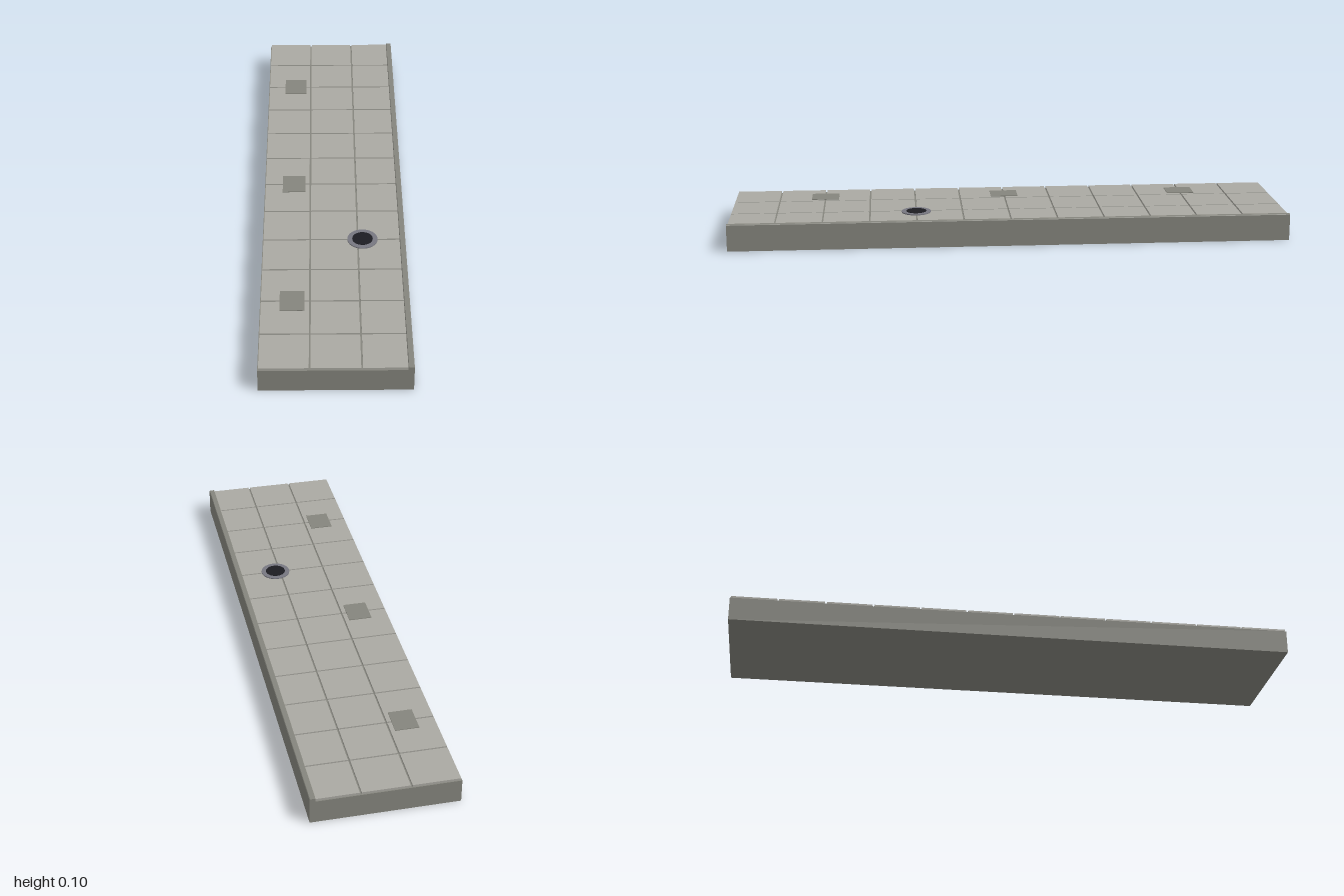
import * as THREE from 'three';

const material = (color) => new THREE.MeshStandardMaterial({ color });

export function createModel() {
  const group = new THREE.Group();
  const stone = material(0x85857d);
  const paving = material(0xaaa9a2);
  const iron = material(0x777780);
  const dark = material(0x1c1c22);

  const add = (name, geometry, mat, x, y, z) => {
    const mesh = new THREE.Mesh(geometry, mat);
    mesh.name = name;
    mesh.position.set(x, y, z);
    group.add(mesh);
    return mesh;
  };

  // Base slab
  const slabTop = 0.084;
  add('slab', new THREE.BoxGeometry(0.5, slabTop, 2), stone, 0, slabTop / 2, 0);

  // Paving tiles, separated by narrow joints
  const pitch = 1 / 6, tileTop = 0.092, tileSize = pitch - 0.006;
  const tile = new THREE.BoxGeometry(tileSize, tileTop - slabTop, tileSize);
  for (let i = 0; i < 3; i++) {
    for (let j = 0; j < 12; j++) {
      add('pavingTile', tile, paving, (i - 1) * pitch, (slabTop + tileTop) / 2, (j - 5.5) * pitch);
    }
  }

  // Kerb strip with chamfered top edges along the left side
  const profile = new THREE.Shape();
  profile.moveTo(0.23, slabTop);
  profile.lineTo(0.25, slabTop);
  profile.lineTo(0.25, 0.094);
  profile.lineTo(0.248, 0.096);
  profile.lineTo(0.232, 0.096);
  profile.lineTo(0.23, 0.094);
  const kerb = new THREE.ExtrudeGeometry(profile, { depth: 2, bevelEnabled: false });
  add('kerb', kerb, stone, 0, 0, -1);

  // Repair patches
  const patch = new THREE.BoxGeometry(0.083, 0.003, 0.1);
  for (const z of [-2 / 3, 0, 2 / 3]) add('patch', patch, stone, -0.143, 0.0928, z);

  // Round drain: iron rim with a dark cover
  add('drainRim', new THREE.CylinderGeometry(0.053, 0.053, 0.0035, 32), iron, 0.1, 0.0938, 1 / 3);
  add('drainCover', new THREE.CylinderGeometry(0.036, 0.036, 0.004, 32), dark, 0.1, 0.0947, 1 / 3);

  return group;
}
